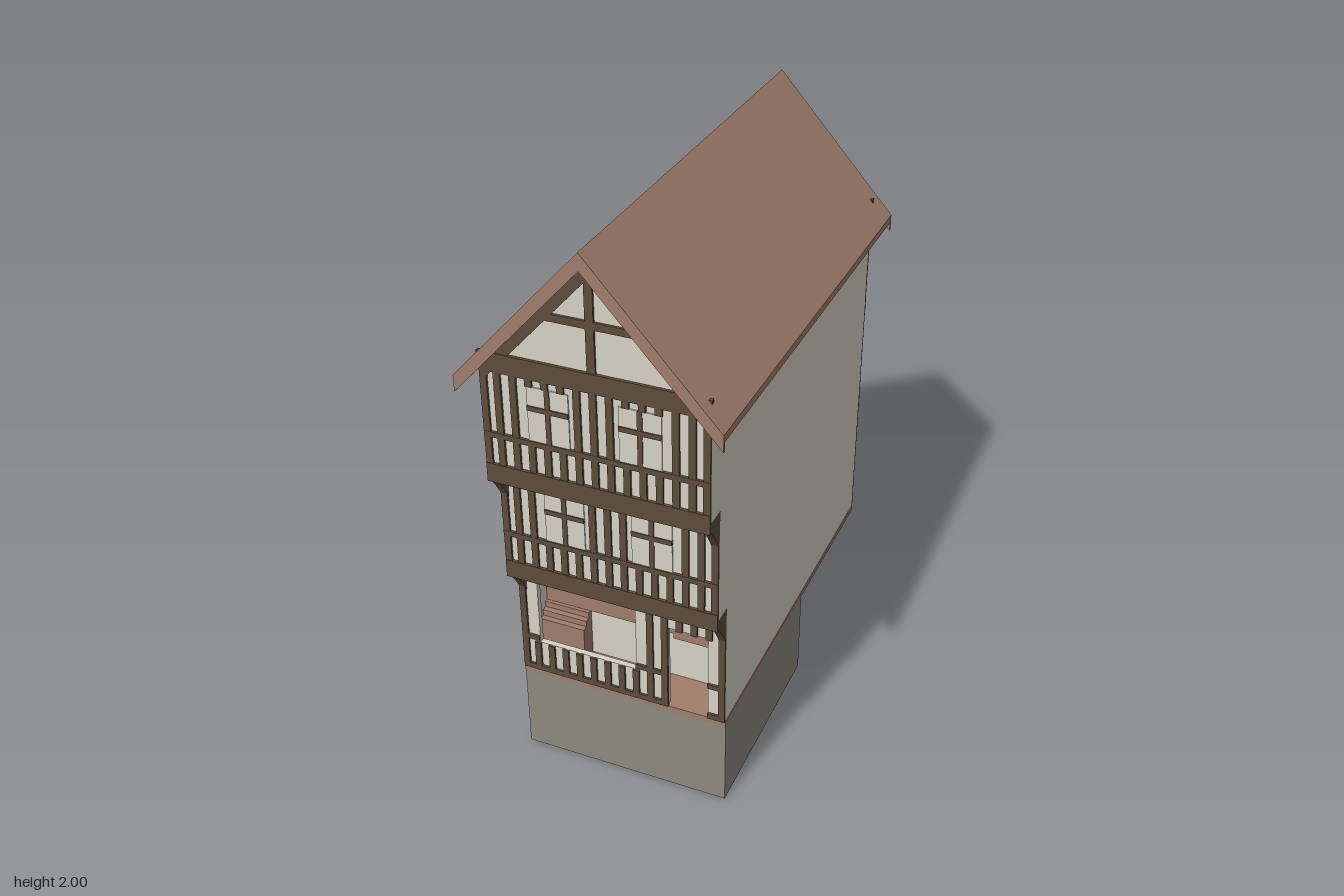
import * as THREE from 'three';

const mat = (name, color, side = THREE.FrontSide) => new THREE.MeshStandardMaterial({ name, color, side });

export function createModel() {
  const plaster = mat('plaster', 0xd6d2c6);
  const timber = mat('timber', 0x5c4c3c);
  const tile = mat('roof tile', 0xa07d6c);
  const stone = mat('stone', 0x8d8980);
  const root = new THREE.Group();
  root.name = 'timberFramedHouse';

  const group = (name) => {
    const g = new THREE.Group();
    g.name = name;
    root.add(g);
    return g;
  };
  // box given by its extents on each axis
  const box = (parent, name, m, x0, x1, y0, y1, z0, z1) => {
    const mesh = new THREE.Mesh(new THREE.BoxGeometry(x1 - x0, y1 - y0, z1 - z0), m);
    mesh.position.set((x0 + x1) / 2, (y0 + y1) / 2, (z0 + z1) / 2);
    mesh.name = name;
    parent.add(mesh);
    return mesh;
  };
  const shapeOf = (pts) => new THREE.Shape(pts.map(([x, y]) => new THREE.Vector2(x, y)));
  const prism = (parent, name, m, shape, z0, z1) => {
    const geo = new THREE.ExtrudeGeometry(shape, { depth: z1 - z0, bevelEnabled: false });
    const mesh = new THREE.Mesh(geo, m);
    mesh.position.z = z0;
    mesh.name = name;
    parent.add(mesh);
    return mesh;
  };

  const W = 0.358, BACK = -0.715, T = 0.008;
  const FRONT = [0.585, 0.65, 0.715];
  const SLOPE = 0.46 / 0.415;
  const roofY = (x) => 2 - SLOPE * Math.abs(x);

  // Foundations and floor
  box(root, 'stoneCellar', stone, -0.36, 0.36, 0, 0.32, -0.135, 0.585);
  box(root, 'floorSlab', tile, -0.36, 0.36, 0.32, 0.34, BACK, 0.588);

  // Plaster body, each storey projecting further forward
  const body = group('plasterWalls');
  const HALL = 0.44;
  box(body, 'groundFloor', plaster, -W, W, 0.34, 0.8, BACK, HALL);
  for (const s of [-1, 1]) {
    const a = s * W, b = s * (W - 0.015);
    box(body, 'groundSideWall', plaster, Math.min(a, b), Math.max(a, b), 0.34, 0.8, HALL, FRONT[0]);
  }
  box(body, 'firstFloor', plaster, -W, W, 0.8, 1.2, BACK, FRONT[1]);
  const eave = roofY(W) - 0.02;
  prism(body, 'topFloorAndGable', plaster,
    shapeOf([[-W, 1.2], [W, 1.2], [W, eave], [0, 1.98], [-W, eave]]), BACK, FRONT[2]);

  // Ground floor front wall with shop window and doorway
  const wall = shapeOf([[-W, 0.34], [0.16, 0.34], [0.16, 0.66], [0.298, 0.66], [0.298, 0.34],
    [W, 0.34], [W, 0.8], [-W, 0.8]]);
  wall.holes.push(new THREE.Path([[-0.296, 0.455], [-0.296, 0.715], [0.05, 0.715], [0.05, 0.455]]
    .map(([x, y]) => new THREE.Vector2(x, y))));
  prism(body, 'shopFrontWall', plaster, wall, FRONT[0] - 0.02, FRONT[0]);

  // Shop interior
  const shop = group('shopInterior');
  box(shop, 'backPanelling', tile, -0.34, 0.12, 0.52, 0.78, HALL, HALL + 0.008);
  box(shop, 'doorPanelling', tile, 0.12, 0.34, 0.5, 0.78, HALL, HALL + 0.008);
  for (let i = 0; i < 3; i++) {
    box(shop, 'stairStep', tile, -0.34, -0.18, 0.34, 0.52 - i * 0.022, HALL, HALL + 0.02 + i * 0.02);
  }

  // Timber framing helpers; dir is +1 on the front and -1 on the back
  const strip = (g, name, x0, x1, y0, y1, z, dir, d = T) =>
    box(g, name, timber, x0, x1, y0, y1, dir > 0 ? z - 0.002 : z - d, dir > 0 ? z + d : z + 0.002);
  const N = 14, PITCH = 0.0505, HALF = 0.011;
  const studXs = Array.from({ length: N + 1 }, (_, i) => (i - N / 2) * PITCH)
    .map((x) => Math.max(-0.347, Math.min(0.347, x)));
  const stud = (g, x, y0, y1, z, dir) => strip(g, 'stud', x - HALF, x + HALF, y0, y1, z, dir);

  // Upper storey: close studding, a rail and two cross windows
  const storey = (name, y0, rail, winTop, y1, z, dir) => {
    const g = group(name);
    for (const x of studXs) {
      const inWindow = Math.abs(Math.abs(x) - 0.144) < 0.068;
      stud(g, x, y0, inWindow ? rail : y1, z, dir);
      if (inWindow) stud(g, x, winTop, y1, z, dir);
    }
    strip(g, 'rail', -W, W, rail - 0.014, rail + 0.004, z, dir, T + 0.001);
    for (const s of [-1, 1]) {
      const c = s * 0.144;
      box(g, 'windowPane', plaster, c - 0.066, c + 0.066, rail + 0.004, winTop,
        z + dir * 0.003 - 0.002, z + dir * 0.003 + 0.002);
      strip(g, 'mullion', c - 0.008, c + 0.008, rail, winTop, z, dir);
      const t = rail + (winTop - rail) * 0.62;
      strip(g, 'transom', c - 0.066, c + 0.066, t - 0.008, t + 0.008, z, dir, T + 0.001);
    }
  };

  for (const dir of [1, -1]) {
    const side = dir > 0 ? 'front' : 'back';
    const z1 = dir > 0 ? FRONT[1] : BACK, z2 = dir > 0 ? FRONT[2] : BACK;
    storey(side + 'FirstFloorFrame', 0.82, 0.935, 1.117, 1.17, z1, dir);
    storey(side + 'TopFloorFrame', 1.22, 1.337, 1.522, 1.55, z2, dir);

    // Main beams and gable truss
    const g = group(side + 'BeamsAndGable');
    strip(g, 'firstFloorBeam', -W, W, 0.762, 0.826, z1, dir, T + 0.002);
    strip(g, 'topFloorBeam', -W, W, 1.164, 1.23, z2, dir, T + 0.002);
    strip(g, 'tieBeam', -0.362, 0.362, 1.547, 1.61, z2, dir, T + 0.002);
    strip(g, 'collarBeam', -0.18, 0.18, 1.748, 1.772, z2, dir);
    strip(g, 'kingPost', -0.013, 0.013, 1.6, 1.93, z2, dir);
    const rafter = shapeOf([[-W, roofY(W) - 0.1], [-W, roofY(W) - 0.02], [0, 1.98],
      [W, roofY(W) - 0.02], [W, roofY(W) - 0.1], [0, 1.9]]);
    prism(g, 'gableRafters', timber, rafter, dir > 0 ? z2 : z2 - T, dir > 0 ? z2 + T : z2);
  }

  // Ground floor framing, front
  const gf = group('frontGroundFloorFrame');
  const z0 = FRONT[0];
  for (const x of studXs) {
    const door = x > 0.155 && x < 0.305, shopWin = x > -0.31 && x < 0.06;
    if (!door) stud(gf, x, 0.34, shopWin ? 0.455 : 0.77, z0, 1);
    if (door) stud(gf, x, 0.66, 0.77, z0, 1);
    if (shopWin) stud(gf, x, 0.715, 0.77, z0, 1);
  }
  for (const [a, b] of [[-W, 0.16], [0.298, W]]) strip(gf, 'sill', a, b, 0.34, 0.36, z0, 1);
  for (const [a, b] of [[-W, -0.296], [0.05, 0.16], [0.298, W]]) strip(gf, 'rail', a, b, 0.465, 0.482, z0, 1);

  // Ground floor framing, back, with corner braces
  const gb = group('backGroundFloorFrame');
  for (const x of studXs) stud(gb, x, 0.34, 0.77, BACK, -1);
  strip(gb, 'sill', -W, W, 0.34, 0.36, BACK, -1);
  for (const s of [-1, 1]) {
    const brace = strip(gb, 'cornerBrace', -0.011, 0.011, 0, 0.42, BACK, -1, T + 0.002);
    brace.position.x = s * 0.27;
    brace.position.y = 0.56;
    brace.rotation.z = s * 0.32;
  }

  // Jetties: overhanging joists with corner brackets
  const jetty = group('jetties');
  for (const [i, y] of [[0, 0.762], [1, 1.164]]) {
    const a = FRONT[i], b = FRONT[i + 1];
    box(jetty, 'jettyBeam', timber, -W, W, y, y + 0.038, a - 0.005, b + 0.005);
    for (const x of studXs) box(jetty, 'joistEnd', timber, x - HALF, x + HALF, y - 0.018, y, a, a + 0.035);
    const profile = new THREE.Shape();
    profile.moveTo(0, -0.1);
    profile.quadraticCurveTo(0.03, -0.04, b - a, 0);
    profile.lineTo(0, 0);
    for (const s of [-1, 1]) {
      const bracket = prism(jetty, 'cornerBracket', timber, profile, 0, 0.024);
      bracket.rotation.y = -Math.PI / 2;
      bracket.position.set(s > 0 ? W : -W + 0.024, y, a);
    }
  }

  // Roof and bargeboards
  const chevron = (d) => shapeOf([[-0.415, 1.54], [-0.415, 1.54 - d], [0, 2 - d], [0.415, 1.54 - d], [0.415, 1.54], [0, 2]]);
  const roof = group('roof');
  prism(roof, 'tiledRoof', tile, chevron(0.025), -0.765, 0.765);
  for (const z of [-0.772, 0.762]) prism(roof, 'bargeboard', tile, chevron(0.055), z, z + 0.01);

  return root;
}
